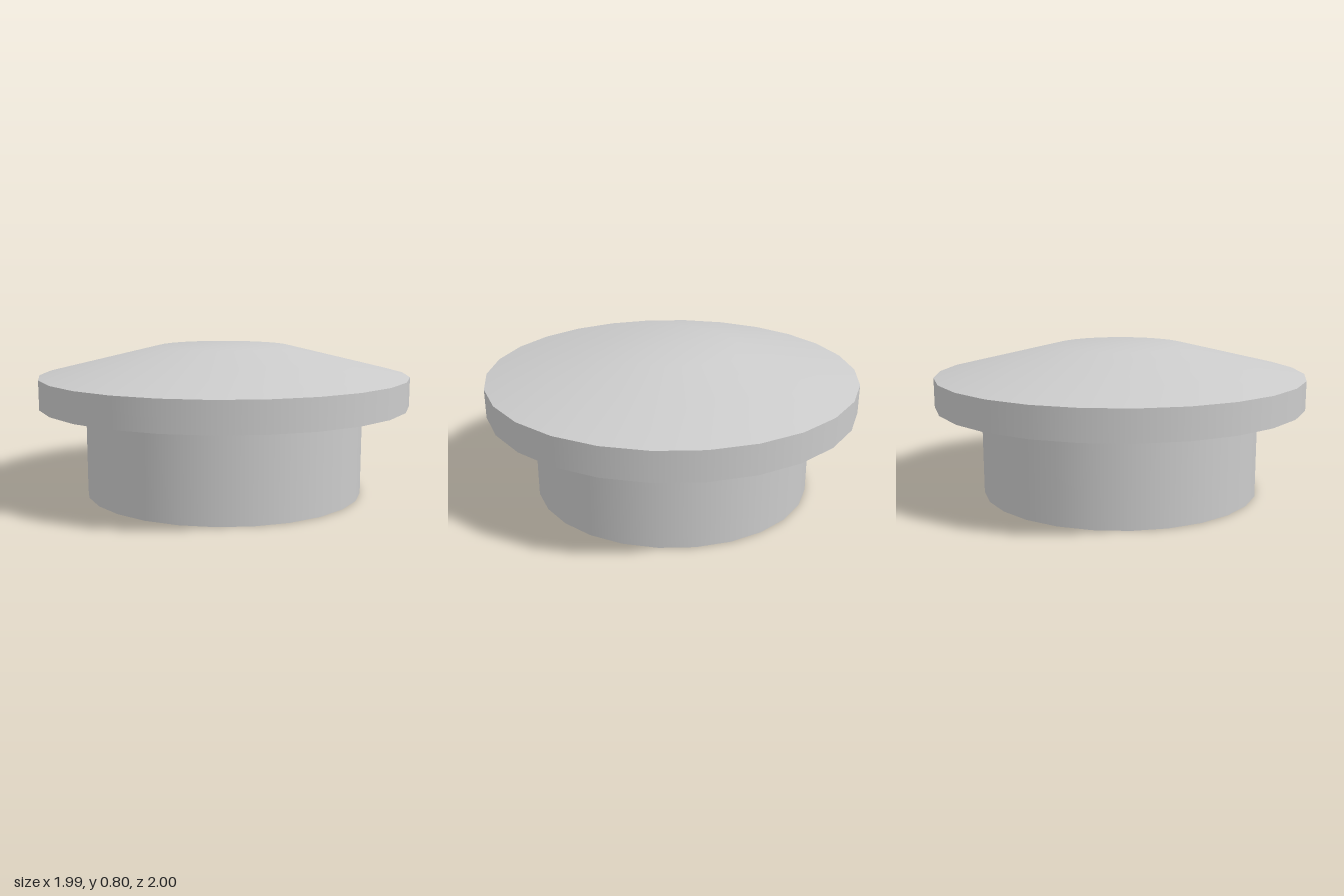
import * as THREE from 'three';

const SIDES = 26;
const solid = new THREE.MeshStandardMaterial({ color: 0xcccccc });
const thin = new THREE.MeshStandardMaterial({ color: 0xcccccc, side: THREE.DoubleSide });

// Turns a profile of [radius, height] pairs; each call is one smooth surface
function turned(name, profile, material = solid) {
  const points = profile.map(([r, y]) => new THREE.Vector2(r, y));
  const mesh = new THREE.Mesh(new THREE.LatheGeometry(points, SIDES), material);
  mesh.name = name;
  return mesh;
}

export function createModel() {
  const group = new THREE.Group();
  group.name = 'plugCap';

  const R = 1, r = 0.755;           // flange and sleeve radii
  const seat = 0.485, brim = 0.64, top = 0.795;

  // Thin open sleeve and its closed ceiling
  group.add(turned('sleeve', [[r, 0], [r, seat]], thin));
  group.add(turned('sleeveCeiling', [[0, seat], [r, seat]], thin));

  // Flange: underside ring and outer wall
  group.add(turned('flangeUnderside', [[r, seat], [R, seat]]));
  group.add(turned('flangeRim', [[R, seat], [R, brim]]));

  // Shallow conical crown with a flat centre, softly shaded
  group.add(turned('crown', [[R, brim], [0.36, top], [0, top]]));

  return group;
}
